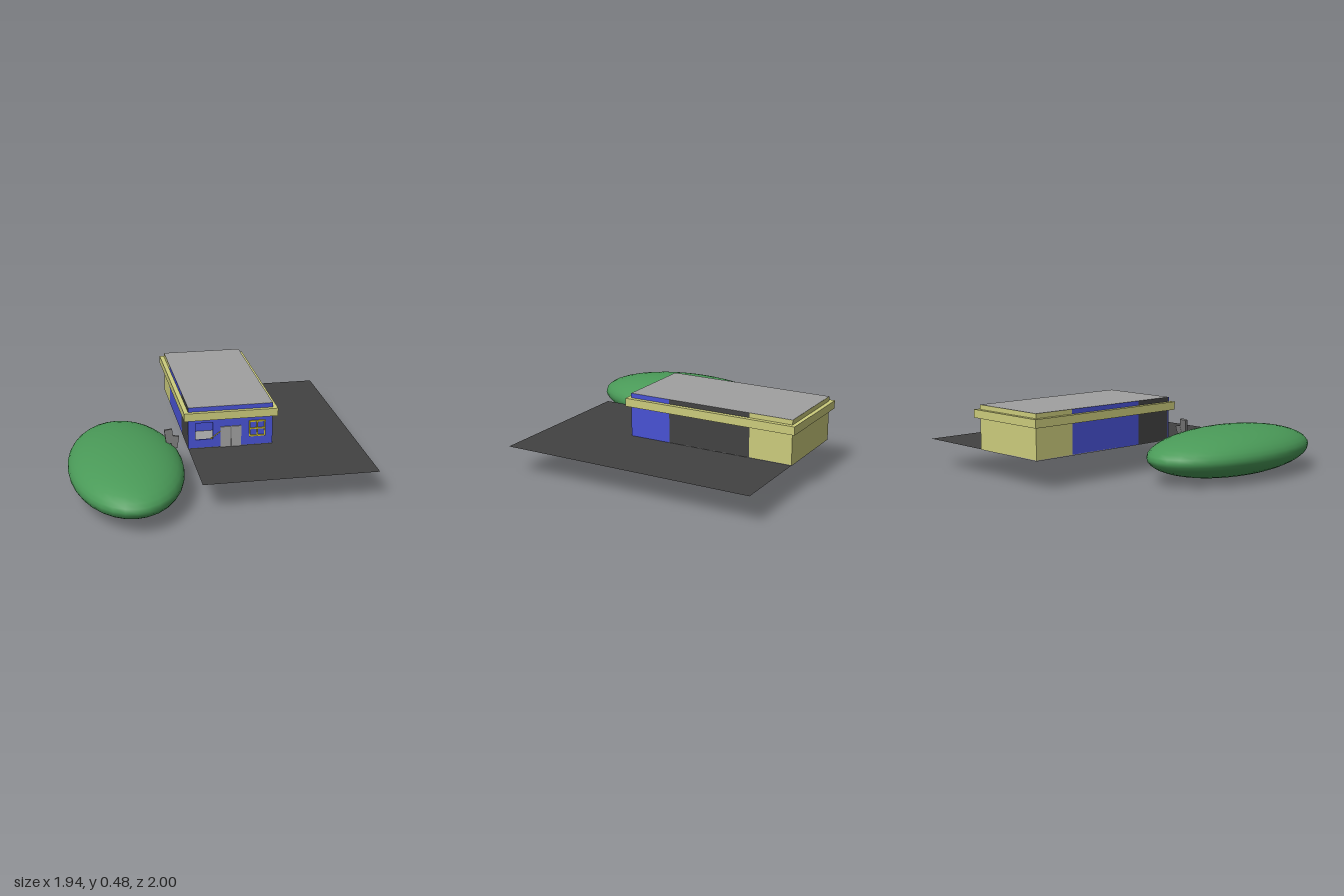
import * as THREE from 'three';

const mat = (name, color) => {
  const m = new THREE.MeshStandardMaterial({ color });
  m.name = name;
  return m;
};

export function createModel() {
  const model = new THREE.Group();
  model.name = 'shopWithHill';
  const blue = mat('blue paint', 0x4852d4);
  const yellow = mat('pale yellow paint', 0xcccc7c);
  const gold = mat('window yellow', 0xd0c030);
  const dark = mat('asphalt', 0x424242);
  dark.side = THREE.DoubleSide;
  const grey = mat('light grey', 0xa0a0a0);
  const stone = mat('stone grey', 0x787878);
  const green = mat('grass green', 0x4a9a58);

  const add = (name, geometry, material, parent = model) => {
    const mesh = new THREE.Mesh(geometry, material);
    mesh.name = name;
    parent.add(mesh);
    return mesh;
  };
  // Box given by its lower and upper limits on each axis
  const box = (name, material, [x0, x1], [y0, y1], [z0, z1], parent) => {
    const mesh = add(name, new THREE.BoxGeometry(x1 - x0, y1 - y0, z1 - z0), material, parent);
    mesh.position.set((x0 + x1) / 2, (y0 + y1) / 2, (z0 + z1) / 2);
    return mesh;
  };
  // Thin round bar between two points
  const rod = (name, material, a, b, r, parent) => {
    const p = new THREE.Vector3(...a), q = new THREE.Vector3(...b);
    const d = q.clone().sub(p);
    const mesh = add(name, new THREE.CylinderGeometry(r, r, d.length(), 8), material, parent);
    mesh.position.copy(p).add(q).multiplyScalar(0.5);
    mesh.quaternion.setFromUnitVectors(new THREE.Vector3(0, 1, 0), d.normalize());
    return mesh;
  };

  // Grassy mound
  const hill = add('hill', new THREE.SphereGeometry(1, 32, 20), green);
  hill.scale.set(0.372, 0.16, 0.685);
  hill.position.set(-0.603, 0.16, 0.312);

  // Paved lot
  const lot = add('pavedLot', new THREE.PlaneGeometry(1.14, 1.712), dark);
  lot.rotation.x = -Math.PI / 2;
  lot.position.set(0.4, 0.19, -0.117);

  // Building shell
  const shop = new THREE.Group();
  shop.name = 'building';
  model.add(shop);
  const X0 = -0.17, X1 = 0.4, Y0 = 0.19, Y1 = 0.48, Z0 = -0.973, Z1 = 0.173, T = 0.01;
  box('floor', grey, [X0, X1], [0.187, 0.193], [Z0, Z1], shop);
  box('roof', grey, [X0, X1], [0.476, 0.481], [Z0, Z1], shop).scale.set(0.998, 1, 0.999);
  box('roofTrim', yellow, [-0.2, 0.43], [0.396, 0.45], [-1, 0.2], shop);

  // Front wall with the open window
  const face = new THREE.Shape([[X0, Y0], [X1, Y0], [X1, Y1], [X0, Y1]].map(p => new THREE.Vector2(...p)));
  face.holes.push(new THREE.Path([[-0.12, 0.25], [-0.12, 0.368], [-0.004, 0.368], [-0.004, 0.25]]
    .map(p => new THREE.Vector2(...p))));
  add('frontWall', new THREE.ExtrudeGeometry(face, { depth: T, bevelEnabled: false }), blue, shop)
    .position.z = Z1 - T;
  box('backWall', yellow, [X0, X1], [Y0, Y1], [Z0, Z0 + T], shop);
  box('partition', blue, [X0 + T, X1 - T], [Y0, 0.4], [-0.12, -0.11], shop);

  // Side walls in three painted bays
  const cuts = [Z0 + T, -0.685, -0.113, Z1 - T];
  [[X0, [yellow, blue, dark]], [X1 - T, [yellow, dark, blue]]].forEach(([x, paints]) =>
    paints.forEach((paint, i) =>
      box('sideWallBay', paint, [x, x + T], [Y0, Y1], [cuts[i], cuts[i + 1]], shop)));

  // Double door
  for (const x of [0.046, 0.119]) {
    box('doorPanel', grey, [x, x + 0.067], [Y0, 0.335], [Z1, Z1 + 0.008], shop);
  }
  box('doorGap', stone, [0.113, 0.119], [Y0, 0.335], [Z1, Z1 + 0.004], shop);

  // Barred window
  for (const x of [0.24, 0.291, 0.342]) {
    box('windowUpright', gold, [x, x + 0.009], [0.252, 0.365], [Z1, Z1 + 0.009], shop);
  }
  for (const y of [0.252, 0.304, 0.356]) {
    box('windowBar', gold, [0.24, 0.351], [y, y + 0.009], [Z1, Z1 + 0.008], shop);
  }

  // Slanted pole by the open window
  rod('slantedPole', gold, [-0.018, 0.256, 0.178], [0.055, 0.31, 0.178], 0.003, shop);
  add('poleKnob', new THREE.SphereGeometry(0.007, 10, 8), gold, shop).position.set(-0.015, 0.258, 0.178);

  // Furniture legs reaching just below the floor
  for (const [x, z] of [[-0.08, -0.43], [0.04, -0.43], [-0.08, -0.52], [0.04, -0.57]]) {
    rod('furnitureLeg', stone, [x, 0.17, z], [x, 0.23, z], 0.003, shop);
  }
  box('furnitureTop', stone, [-0.1, 0.06], [0.23, 0.24], [-0.59, -0.41], shop);

  // Two leaning slabs at the edge of the mound
  const slabs = [[-0.3, 0.295, 0.185, 0.052, 0.095, 0.12], [-0.262, 0.257, 0.19, 0.042, 0.08, -0.2]];
  for (const [x, y, z, w, h, tilt] of slabs) {
    const slab = add('leaningSlab', new THREE.BoxGeometry(w, h, 0.022), stone);
    slab.position.set(x, y, z);
    slab.rotation.set(-0.15, 0, tilt);
  }
  return model;
}
